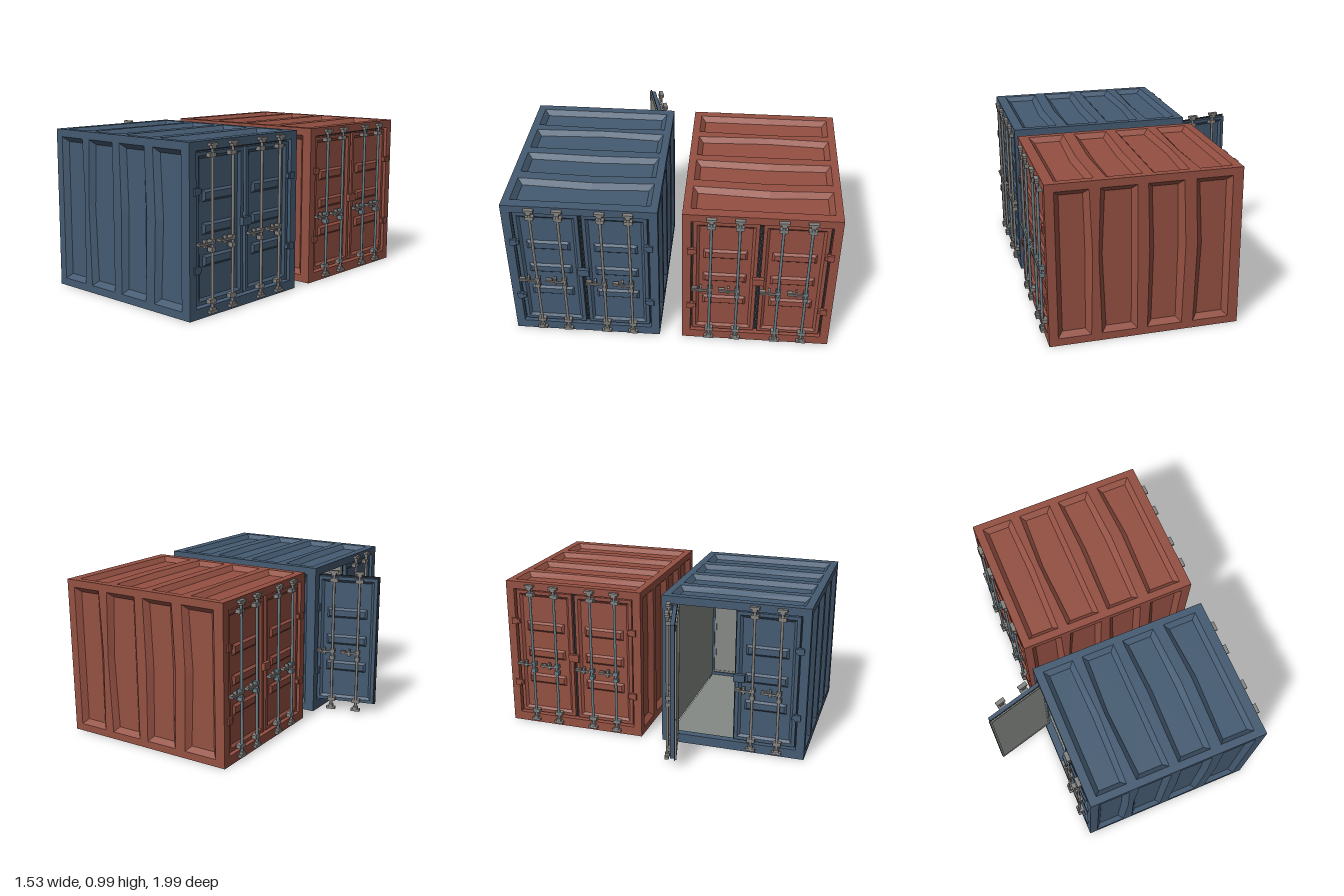
import * as THREE from 'three';
import { mergeGeometries } from 'three/addons/utils/BufferGeometryUtils.js';

const mat = (name, color) => Object.assign(new THREE.MeshStandardMaterial({ color }), { name });

const HALF_L = 0.5725, HALF_H = 0.4925, HALF_W = 0.463;

// Counter-clockwise panel outline; dl and dr dent the left and right edges at mid height
function outline(x0, x1, y0, y1, dl = 0, dr = 0) {
  const ym = y0 + (y1 - y0) * 0.55;
  return [[x0, y0], [x1, y0], [x1 + dr, ym], [x1, y1], [x0, y1], [x0 + dl, ym]].map(p => new THREE.Vector2(...p));
}

// Flat face towards +z, with optional holes
function face(poly, z, holes = []) {
  const shape = new THREE.Shape(poly);
  holes.forEach(h => shape.holes.push(new THREE.Path(h)));
  const g = new THREE.ShapeGeometry(shape).toNonIndexed().translate(0, 0, z);
  g.deleteAttribute('uv');
  return g;
}

// Band of quads joining two outlines at different depths
function band(a, za, b, zb) {
  const pos = [];
  a.forEach((p, i) => {
    const j = (i + 1) % a.length;
    const A = [p.x, p.y, za], B = [a[j].x, a[j].y, za], C = [b[j].x, b[j].y, zb], D = [b[i].x, b[i].y, zb];
    pos.push(...A, ...B, ...C, ...A, ...C, ...D);
  });
  const g = new THREE.BufferGeometry();
  g.setAttribute('position', new THREE.Float32BufferAttribute(pos, 3));
  g.computeVertexNormals();
  return g;
}

// Sheet with pressed-in panels and an optional edge skirt
function pressedSheet(rect, panels, depth, inset, skirt = 0) {
  const edge = outline(...rect);
  const rims = panels.map(p => outline(...p));
  const parts = [face(edge, 0, rims)];
  panels.forEach(([x0, x1, y0, y1, dl = 0, dr = 0], i) => {
    const floor = outline(x0 + inset, x1 - inset, y0 + inset, y1 - inset, dl * 1.3, dr * 0.5);
    parts.push(band(rims[i], 0, floor, -depth), face(floor, -depth));
  });
  if (skirt) parts.push(band(edge, -skirt, edge, 0));
  return mergeGeometries(parts);
}

function add(parent, name, geometry, material, x = 0, y = 0, z = 0) {
  const mesh = new THREE.Mesh(geometry, material);
  mesh.name = name;
  mesh.position.set(x, y, z);
  parent.add(mesh);
  return mesh;
}
const box = (w, h, d) => new THREE.BoxGeometry(w, h, d);

// Vertical locking bar with cams, guides and a swinging handle
function lockBar(parent, x, metal, fitting) {
  const g = new THREE.Group();
  g.name = 'lockBar';
  g.position.set(x, 0, 0.008);
  parent.add(g);
  add(g, 'rod', new THREE.CylinderGeometry(0.009, 0.009, 0.93, 8), metal, 0, 0.495);
  for (const s of [-1, 1]) {
    add(g, 'cam', box(0.03, 0.022, 0.03), fitting, 0, 0.495 + s * 0.455, 0);
    add(g, 'camHead', box(0.06, 0.016, 0.026), fitting, 0, 0.495 + s * 0.468, 0.003);
    add(g, 'guide', box(0.05, 0.024, 0.034), fitting, 0, 0.495 + s * 0.41, -0.01);
  }
  for (const y of [0.38, 0.425]) add(g, 'handleHub', box(0.03, 0.026, 0.032), metal, 0, y, -0.006);
  add(g, 'handle', box(0.11, 0.012, 0.01), fitting, -0.058, 0.42, 0.008);
  add(g, 'handleCatch', box(0.014, 0.045, 0.024), fitting, -0.055, 0.42, -0.006);
  add(g, 'handleKeeper', box(0.036, 0.016, 0.02), fitting, -0.095, 0.422, -0.006);
}

// Door leaf reaching from its hinge at x = 0 to dir * 0.407
function doorLeaf(body, dark, lining, metals, dir) {
  const leaf = new THREE.Group();
  leaf.name = 'doorLeaf';
  const c = dir * 0.205;
  const skin = pressedSheet([-0.194, 0.194, 0.071, 0.924], [[-0.172, 0.172, 0.092, 0.903]], 0.013, 0.016, 0.028);
  add(leaf, 'doorSkin', skin, body, c, 0, -0.014);
  for (const y of [0.68, 0.497, 0.315]) {
    const low = outline(-0.132, 0.132, y - 0.033, y + 0.033);
    const high = outline(-0.118, 0.118, y - 0.02, y + 0.02);
    add(leaf, 'doorRib', mergeGeometries([band(low, -0.013, high, 0), face(high, 0)]), body, c, 0, -0.014);
  }
  add(leaf, 'gasket', box(0.409, 0.872, 0.006), dark, c, 0.4975, -0.042);
  add(leaf, 'doorLining', box(0.405, 0.862, 0.004), lining, c, 0.4975, -0.047);
  for (const s of [-1, 1]) {
    add(leaf, 'liningRim', box(0.012, 0.862, 0.008), lining, c + s * 0.196, 0.4975, -0.049);
    add(leaf, 'liningRim', box(0.38, 0.012, 0.008), lining, c, 0.4975 + s * 0.425, -0.049);
  }
  [0.125, 0.292].forEach((d, i) => lockBar(leaf, dir * (0.41 - d), metals[i], metals[2]));
  return leaf;
}

// Door frame with two leaves, built facing +z; openAngle swings the leaf on the -x side
function doorEnd(body, dark, lining, metals, openAngle) {
  const end = new THREE.Group();
  end.name = 'doorEnd';
  const shape = new THREE.Shape(outline(-HALF_W, HALF_W, 0, HALF_H * 2));
  shape.holes.push(new THREE.Path(outline(-0.41, 0.41, 0.06, 0.935)));
  add(end, 'doorFrame', new THREE.ExtrudeGeometry(shape, { depth: 0.05, bevelEnabled: false }), body, 0, 0, -0.05);
  for (const dir of [-1, 1]) {
    const leaf = doorLeaf(body, dark, lining, metals, dir);
    leaf.position.x = -dir * 0.41;
    if (dir > 0 && openAngle) {
      leaf.rotation.y = -openAngle;
      leaf.position.z = -0.02;
    }
    end.add(leaf);
    for (const y of [0.28, 0.715]) {
      add(end, 'hinge', box(0.04, 0.042, 0.022), body, dir * 0.412, y, 0);
      add(end, 'hingePin', box(0.018, 0.028, 0.03), body, dir * 0.386, y, -0.008);
    }
  }
  add(end, 'centreLock', box(0.07, 0.048, 0.026), body, openAngle ? 0.038 : 0, 0.497, -0.004);
  return end;
}

function container(body, dark, lining, metals, openAngle) {
  const g = new THREE.Group();
  g.name = 'container';
  // Four pressed panels per wall: left, right, left dent, right dent
  const spans = [[-0.52, -0.325, 0, 0.014], [-0.262, -0.05, -0.014, 0], [0.01, 0.22, 0.01, 0.016], [0.29, 0.51, 0.016, 0]];
  const wall = half => pressedSheet([-HALF_L, HALF_L, -half, half],
    spans.map(([a, b, l, r]) => [a, b, -half + 0.046, half - 0.046, l, r]), 0.03, 0.03);
  const side = wall(HALF_H), deck = wall(HALF_W);
  add(g, 'frontWall', side, body, 0, HALF_H, HALF_W);
  add(g, 'backWall', side, body, 0, HALF_H, -HALF_W).rotation.y = Math.PI;
  add(g, 'roof', deck, body, 0, HALF_H * 2, 0).rotation.x = -Math.PI / 2;
  add(g, 'underside', deck, body, 0, 0, 0).rotation.x = Math.PI / 2;

  // Inner lining of floor, ceiling and walls
  for (const s of [-1, 1]) {
    add(g, 'innerWall', box(1.04, 0.9, 0.006), lining, 0, HALF_H, s * (HALF_W - 0.037));
    add(g, 'innerDeck', box(1.04, 0.006, 0.84), lining, 0, HALF_H + s * (HALF_H - 0.037), 0);
  }

  for (const s of [-1, 1]) {
    const end = doorEnd(body, dark, lining, metals, s < 0 ? openAngle : 0);
    end.position.x = s * HALF_L;
    end.rotation.y = s * Math.PI / 2;
    g.add(end);
  }
  g.position.x = 0.1625;
  return g;
}

export function createModel() {
  const model = new THREE.Group();
  model.name = 'shippingContainers';
  const blue = mat('bluePaint', 0x455b72), red = mat('redPaint', 0x945042);
  const dark = mat('darkRubber', 0x23282d), grey = mat('greyLining', 0x858985);
  const iron = mat('warmGreyMetal', 0x858380), steel = mat('blueGreySteel', 0x6c7f87);

  const near = container(blue, dark, grey, [iron, iron, iron], THREE.MathUtils.degToRad(75));
  near.name = 'blueContainer';
  near.position.z = 0.533;
  const far = container(red, dark, grey, [steel, steel, iron], 0);
  far.name = 'redContainer';
  far.position.z = -0.535;
  model.add(near, far);
  return model;
}
